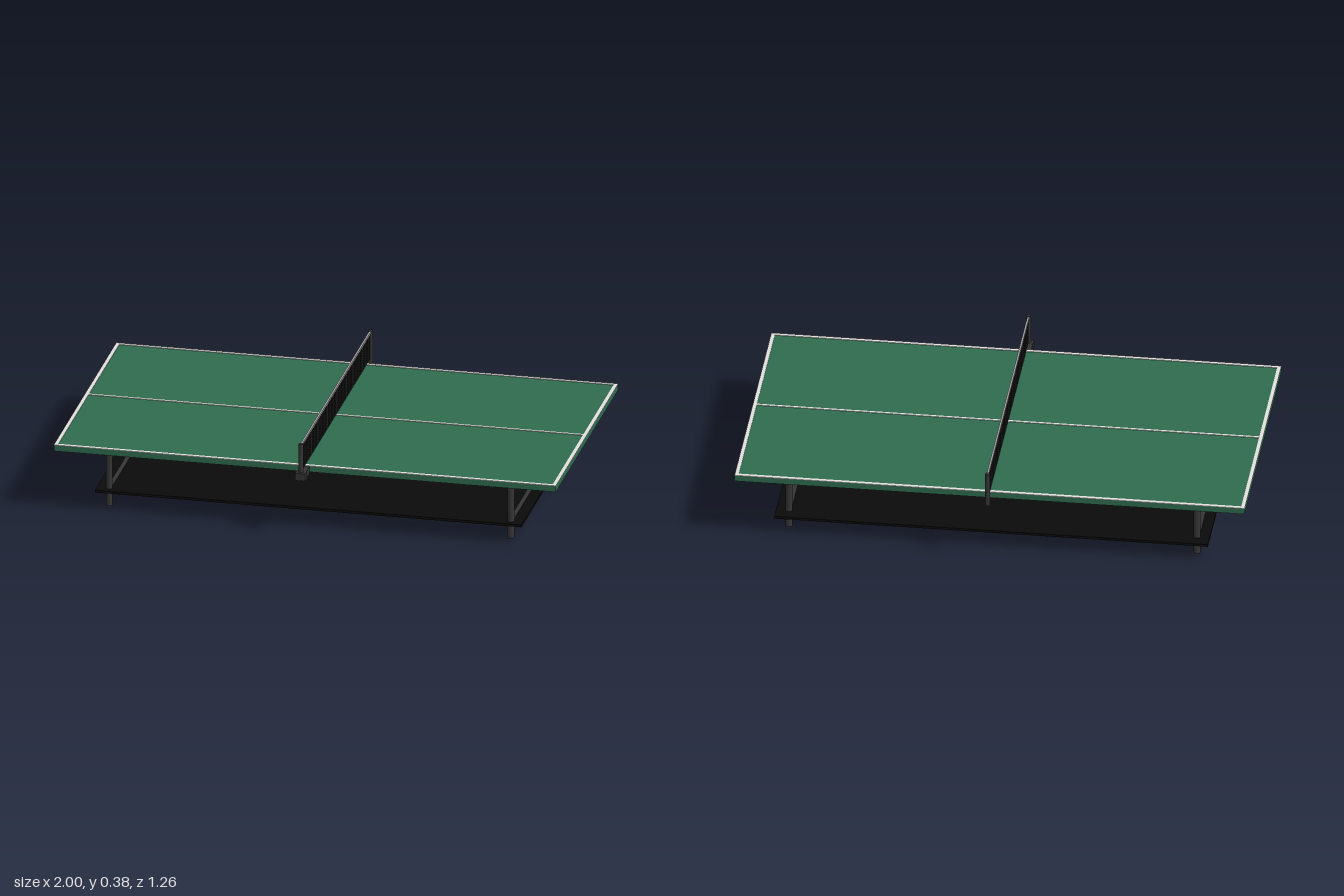
import * as THREE from 'three';
import { mergeGeometries } from 'three/addons/utils/BufferGeometryUtils.js';

export function createModel() {
  const root = new THREE.Group();
  root.name = 'tableTennisTable';

  const mat = (name, color) => {
    const m = new THREE.MeshStandardMaterial({ color });
    m.name = name;
    return m;
  };
  const green = mat('tableGreen', 0x2f6b4f);
  const white = mat('lineWhite', 0xe2e0dc);
  const grey = mat('tapeGrey', 0xa0a0a0);
  const steel = mat('darkSteel', 0x353535);
  const black = mat('shelfBlack', 0x0a0a0a);
  const cord = mat('netCord', 0x2a2a2a);

  const add = (name, geometry, material, x, y, z, parent = root) => {
    const mesh = new THREE.Mesh(geometry, material);
    mesh.name = name;
    mesh.position.set(x, y, z);
    parent.add(mesh);
    return mesh;
  };
  const box = (name, material, size, pos, parent) =>
    add(name, new THREE.BoxGeometry(...size), material, ...pos, parent);

  // Table top
  const topY = 0.267, tableZ = -0.007, halfDepth = 0.557;
  box('tableTop', green, [2, 0.024, halfDepth * 2], [0, topY - 0.012, tableZ]);

  // Painted border and centre line
  const lines = new THREE.Group();
  lines.name = 'courtLines';
  root.add(lines);
  const lineW = 0.015, lineH = 0.002;
  for (const s of [-1, 1]) {
    box('sideLine', white, [2, lineH, lineW],
      [0, topY + lineH / 2, tableZ + s * (halfDepth - lineW / 2)], lines);
    box('endLine', white, [lineW, lineH, halfDepth * 2 - lineW * 2],
      [s * (1 - lineW / 2), topY + lineH / 2, tableZ], lines);
  }
  box('centreLine', white, [2 - lineW * 2, lineH, 0.01], [0, topY + lineH / 2, tableZ], lines);

  // Legs and the rails joining them
  const legZ = [0.455, -0.463];
  for (const x of [-0.8, 0.8]) {
    for (const z of legZ) {
      add('leg', new THREE.CylinderGeometry(0.0135, 0.0135, 0.244, 20), steel, x, 0.122, z);
    }
    box('legRail', steel, [0.018, 0.015, legZ[0] - legZ[1]], [x, 0.065, (legZ[0] + legZ[1]) / 2]);
  }

  // Lower shelf
  box('shelf', black, [1.7, 0.01, 1.01], [0, 0.065, -0.015]);

  // Net posts
  for (const z of [0.615, -0.623]) {
    add('netPost', new THREE.CylinderGeometry(0.0095, 0.0095, 0.14, 16), steel, 0, 0.314, z);
  }

  // Clamp at the front post
  const clamp = new THREE.Group();
  clamp.name = 'netClamp';
  root.add(clamp);
  box('clampBody', steel, [0.04, 0.03, 0.032], [0, 0.25, 0.616], clamp);
  box('clampArm', steel, [0.036, 0.024, 0.058], [0, 0.252, 0.573], clamp);
  box('clampJaw', steel, [0.036, 0.006, 0.05], [0, 0.239, 0.567], clamp);

  // Net mesh: crossing cords merged into one geometry
  const net = { z0: -0.617, z1: 0.609, y0: 0.27, y1: 0.375 };
  const depth = net.z1 - net.z0, height = net.y1 - net.y0;
  const midY = (net.y0 + net.y1) / 2, midZ = (net.z0 + net.z1) / 2;
  const cords = [], thick = 0.0022, columns = 116, rows = 10;
  for (let i = 0; i <= columns; i++) {
    cords.push(new THREE.BoxGeometry(thick, height, thick)
      .translate(0, midY, net.z0 + (depth * i) / columns));
  }
  for (let j = 0; j <= rows; j++) {
    cords.push(new THREE.BoxGeometry(thick, thick, depth)
      .translate(0, net.y0 + (height * j) / rows, midZ));
  }
  add('netMesh', mergeGeometries(cords), cord, 0, 0, 0);

  // Tape along the top of the net
  box('netTape', grey, [0.008, 0.009, depth], [0, 0.378, midZ]);

  return root;
}
